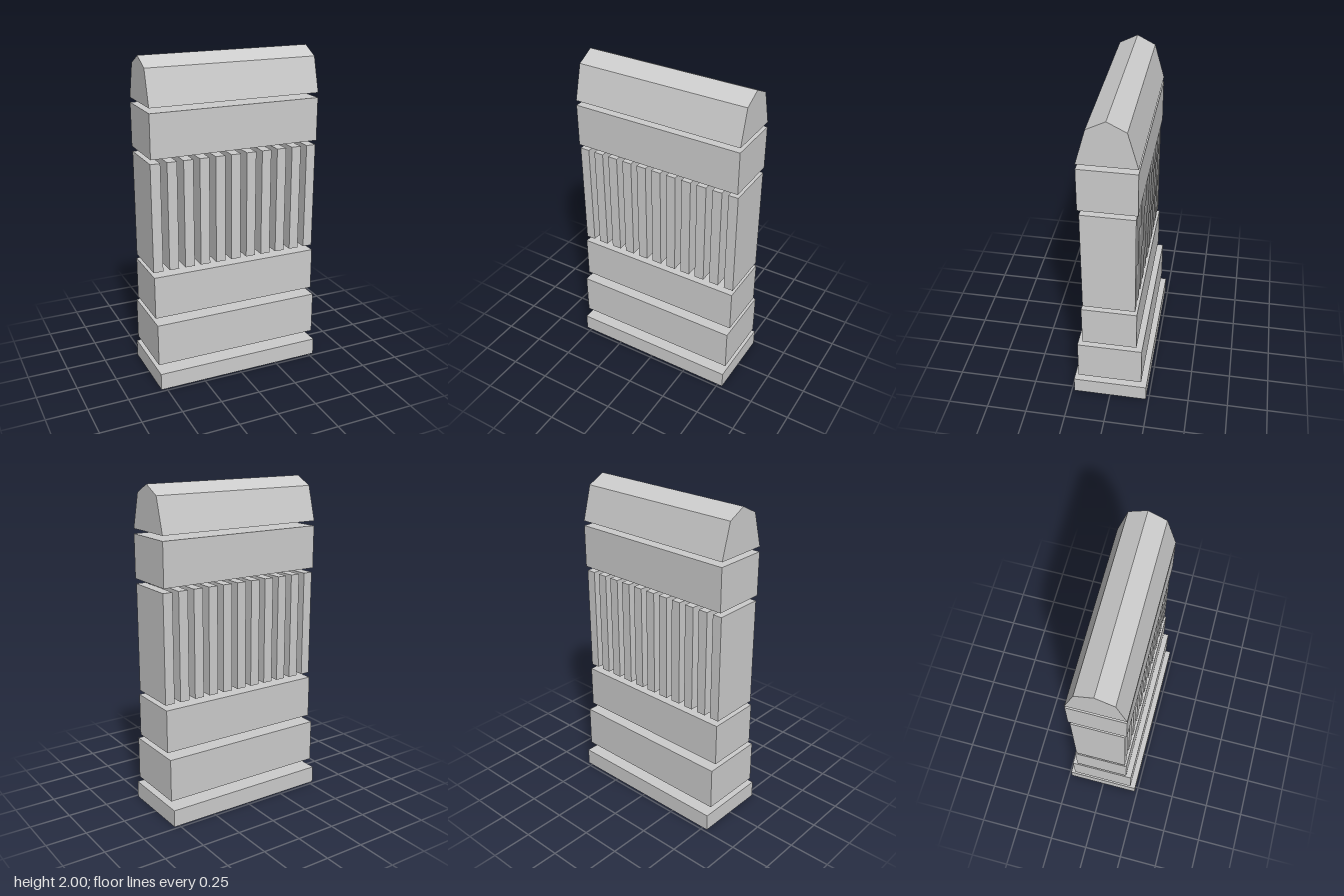
import * as THREE from 'three';

const WIDTH = 1.066;

export function createModel() {
  const group = new THREE.Group();
  const material = new THREE.MeshStandardMaterial({ color: 0xcccccc, flatShading: true });

  function addPart(name, geometry, x = 0, y = 0, z = 0) {
    const mesh = new THREE.Mesh(geometry, material);
    mesh.name = name;
    mesh.position.set(x, y, z);
    group.add(mesh);
  }

  // Full-width horizontal courses: name, bottom, top, depth
  const courses = [
    ['base', 0, 0.107, 0.464],
    ['plinth', 0.155, 0.421, 0.4],
    ['lowerRail', 0.456, 0.721, 0.334],
    ['upperRail', 1.443, 1.706, 0.334],
  ];
  for (const [name, bottom, top, depth] of courses) {
    addPart(name, new THREE.BoxGeometry(WIDTH, top - bottom, depth), 0, (bottom + top) / 2);
  }

  // Row of upright slats with open gaps between them
  const slatCount = 11, slatWidth = 0.06, slatBottom = 0.751, slatTop = 1.414;
  const slat = new THREE.BoxGeometry(slatWidth, slatTop - slatBottom, 0.314);
  const pitch = (WIDTH - slatWidth) / (slatCount - 1);
  for (let i = 0; i < slatCount; i++) {
    addPart(`slat${i + 1}`, slat, (i - (slatCount - 1) / 2) * pitch, (slatBottom + slatTop) / 2);
  }

  // Ridged cap: five-sided profile extruded along x
  const profile = new THREE.Shape([
    [-0.167, 1.736], [0.167, 1.736], [0.108, 1.945], [0, 2], [-0.108, 1.945],
  ].map(([z, y]) => new THREE.Vector2(z, y)));
  const cap = new THREE.ExtrudeGeometry(profile, { depth: WIDTH, bevelEnabled: false });
  cap.translate(0, 0, -WIDTH / 2).rotateY(Math.PI / 2);
  addPart('cap', cap);

  return group;
}
